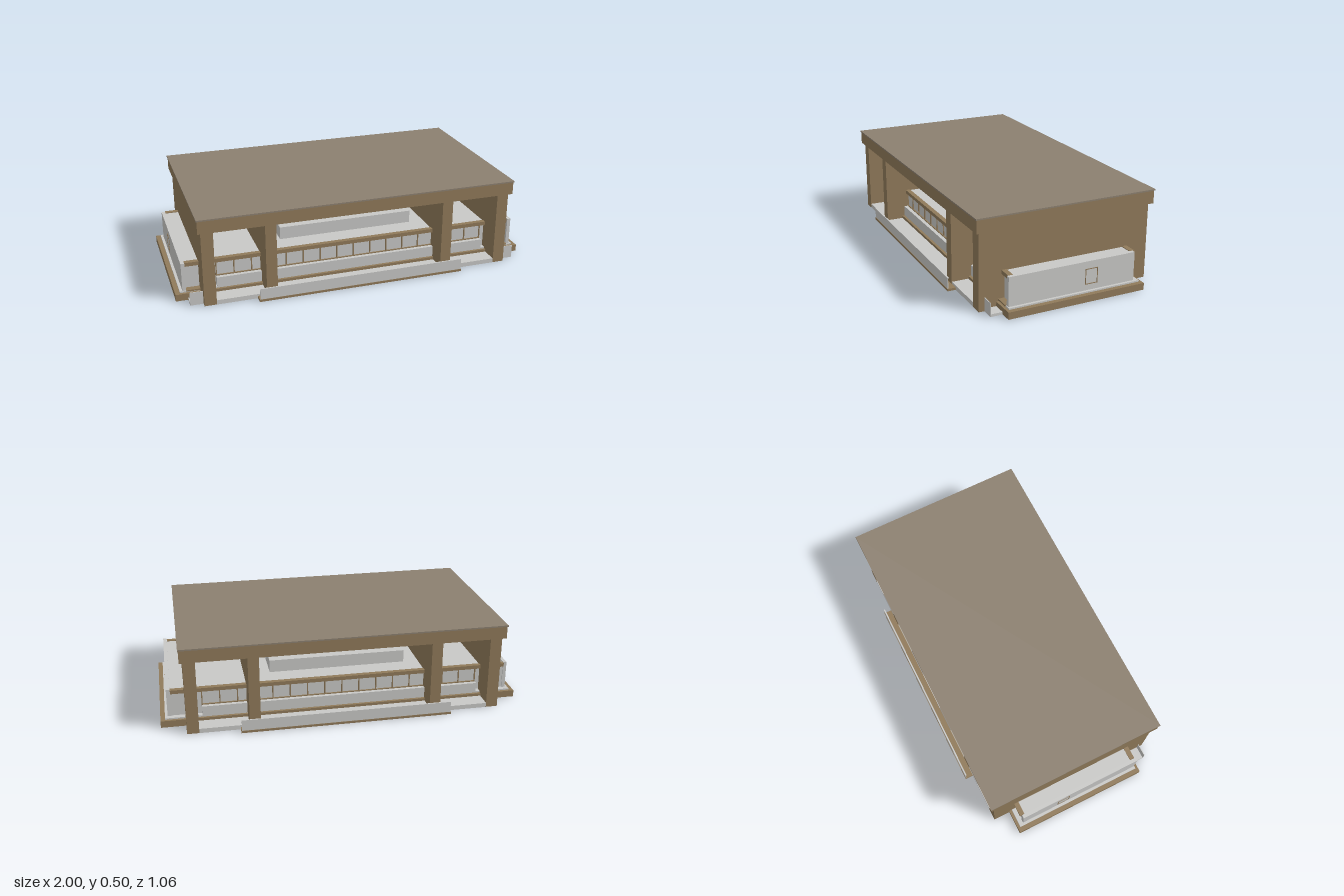
import * as THREE from 'three';

const mat = (name, color) => {
  const m = new THREE.MeshStandardMaterial({ color });
  m.name = name;
  return m;
};

export function createModel() {
  const tan = mat('tan stone', 0x907a5a);
  const pale = mat('pale concrete', 0xc8c8c6);
  const roofTone = mat('roof membrane', 0x8c8070);
  const root = new THREE.Group();
  root.name = 'pavilion';

  // Box given by its min and max on each axis
  const box = (name, m, x0, x1, y0, y1, z0, z1, parent = root) => {
    const mesh = new THREE.Mesh(new THREE.BoxGeometry(x1 - x0, y1 - y0, z1 - z0), m);
    mesh.position.set((x0 + x1) / 2, (y0 + y1) / 2, (z0 + z1) / 2);
    mesh.name = name;
    parent.add(mesh);
    return mesh;
  };
  // The same box on the left and, mirrored, on the right
  const pair = (name, m, x0, x1, ...rest) => {
    box(name + 'Left', m, x0, x1, ...rest);
    box(name + 'Right', m, -x1, -x0, ...rest);
  };

  // Ground slabs
  box('plinth', tan, -1, 1, 0.002, 0.04, -0.39, 0.39);
  box('plinthLedge', pale, -0.975, 0.975, 0.04, 0.048, -0.375, 0.375);
  box('floorSlab', pale, -0.8, 0.8, 0, 0.025, -0.484, 0.484);
  box('wideFloorSlab', pale, -0.935, 0.935, 0.001, 0.015, -0.388, 0.455);

  // Great canopy on four full-depth walls
  box('canopy', tan, -0.882, 0.882, 0.42, 0.49, -0.505, 0.502);
  box('canopyRoof', roofTone, -0.886, 0.886, 0.49, 0.498, -0.51, 0.506);
  pair('outerWall', tan, 0.8, 0.865, 0.001, 0.42, -0.485, 0.485);
  pair('innerWall', tan, 0.47, 0.53, 0.001, 0.42, -0.485, 0.485);

  // Low building under the canopy
  box('building', pale, -0.94, 0.94, 0.04, 0.2, -0.345, 0.345);
  pair('endBlock', pale, 0.94, 0.96, 0.045, 0.205, -0.35, 0.37);
  box('roofLantern', pale, -0.385, 0.385, 0.2, 0.27, -0.22, 0.22);

  // Glazed front and back
  for (const s of [1, -1]) {
    const side = new THREE.Group();
    side.name = s > 0 ? 'frontFacade' : 'backFacade';
    root.add(side);
    const slab = (name, m, x0, x1, y0, y1, a, b) =>
      box(name, m, x0, x1, y0, y1, Math.min(a * s, b * s), Math.max(a * s, b * s), side);
    slab('lowerWall', pale, -0.775, 0.775, 0.025, 0.1, 0.34, 0.375);
    slab('fascia', tan, -0.939, 0.939, 0.183, 0.204, 0.335, 0.362);
    for (let i = 0; i <= 16; i++) {
      const x = -0.772 + i * 0.0965;
      slab('mullion', tan, x - 0.003, x + 0.003, 0.1, 0.183, 0.344, 0.351);
    }
    slab('windowSill', tan, -0.775, 0.775, 0.1, 0.105, 0.344, 0.353);

    // Long planter with a thin parapet
    slab('planterBase', tan, -0.58, 0.58, 0.001, 0.014, 0.46, 0.53);
    slab('planterPanel', pale, -0.577, 0.577, 0.014, 0.075, 0.524, 0.528);
    slab('planterLip', pale, -0.577, 0.577, 0.071, 0.075, 0.52, 0.528);
  }

  // Thin parapets and steps beside the outer walls at the front
  pair('cornerParapet', pale, 0.865, 0.935, 0.005, 0.075, 0.451, 0.455);
  pair('cornerStep', tan, 0.86, 0.94, 0.045, 0.053, 0.335, 0.38);

  // Door outlines on both ends
  for (const s of [1, -1]) {
    const x0 = s > 0 ? 0.959 : -0.962, x1 = x0 + 0.003;
    const door = new THREE.Group();
    door.name = s > 0 ? 'leftDoorFrame' : 'rightDoorFrame';
    root.add(door);
    box('doorTop', tan, x0, x1, 0.161, 0.165, -0.131, -0.059, door);
    box('doorBottom', tan, x0, x1, 0.08, 0.084, -0.131, -0.059, door);
    box('doorPostBack', tan, x0, x1, 0.08, 0.165, -0.131, -0.127, door);
    box('doorPostFront', tan, x0, x1, 0.08, 0.165, -0.063, -0.059, door);
  }
  return root;
}
